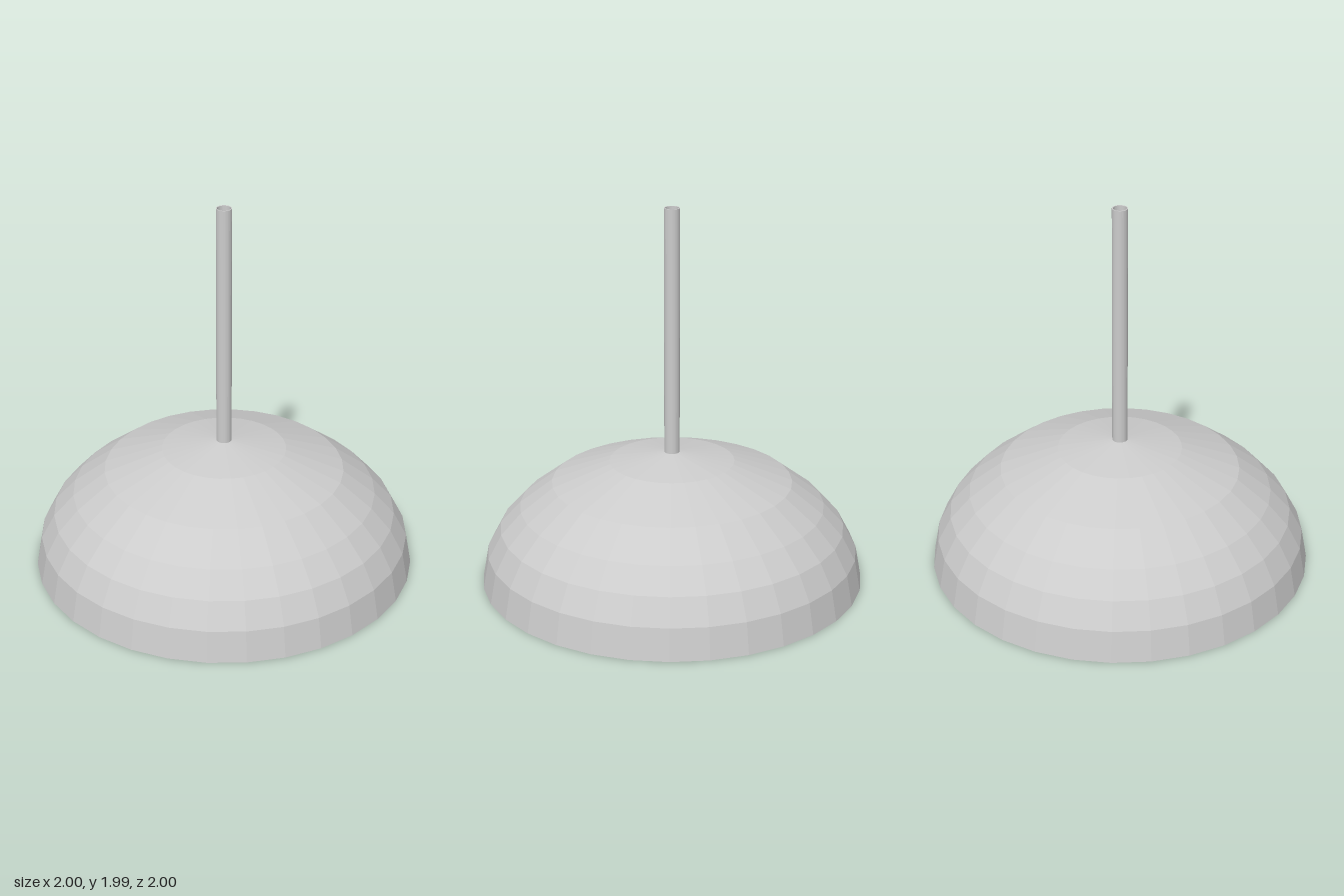
import * as THREE from 'three';

const SIDES = 32;

function lathe(name, profile, flatShading) {
  const points = profile.map(([r, y]) => new THREE.Vector2(r, y));
  const material = new THREE.MeshStandardMaterial({
    color: 0xcccccc, flatShading, side: THREE.DoubleSide,
  });
  const mesh = new THREE.Mesh(new THREE.LatheGeometry(points, SIDES), material);
  mesh.name = name;
  return mesh;
}

export function createModel() {
  const model = new THREE.Group();
  model.name = 'pendantLamp';

  // Open faceted dome with a small hole where the rod meets it
  model.add(lathe('shade', [
    [1, 0], [0.97, 0.163], [0.9, 0.295], [0.795, 0.41],
    [0.627, 0.538], [0.325, 0.65], [0.04, 0.697],
  ], true));

  // Hollow hanging rod: outer wall, top lip, inner wall, bottom lip
  const outer = 0.04, inner = 0.034, bottom = 0.695, top = 1.99;
  model.add(lathe('rod', [
    [outer, bottom], [outer, top], [inner, top], [inner, bottom], [outer, bottom],
  ], true));

  return model;
}
